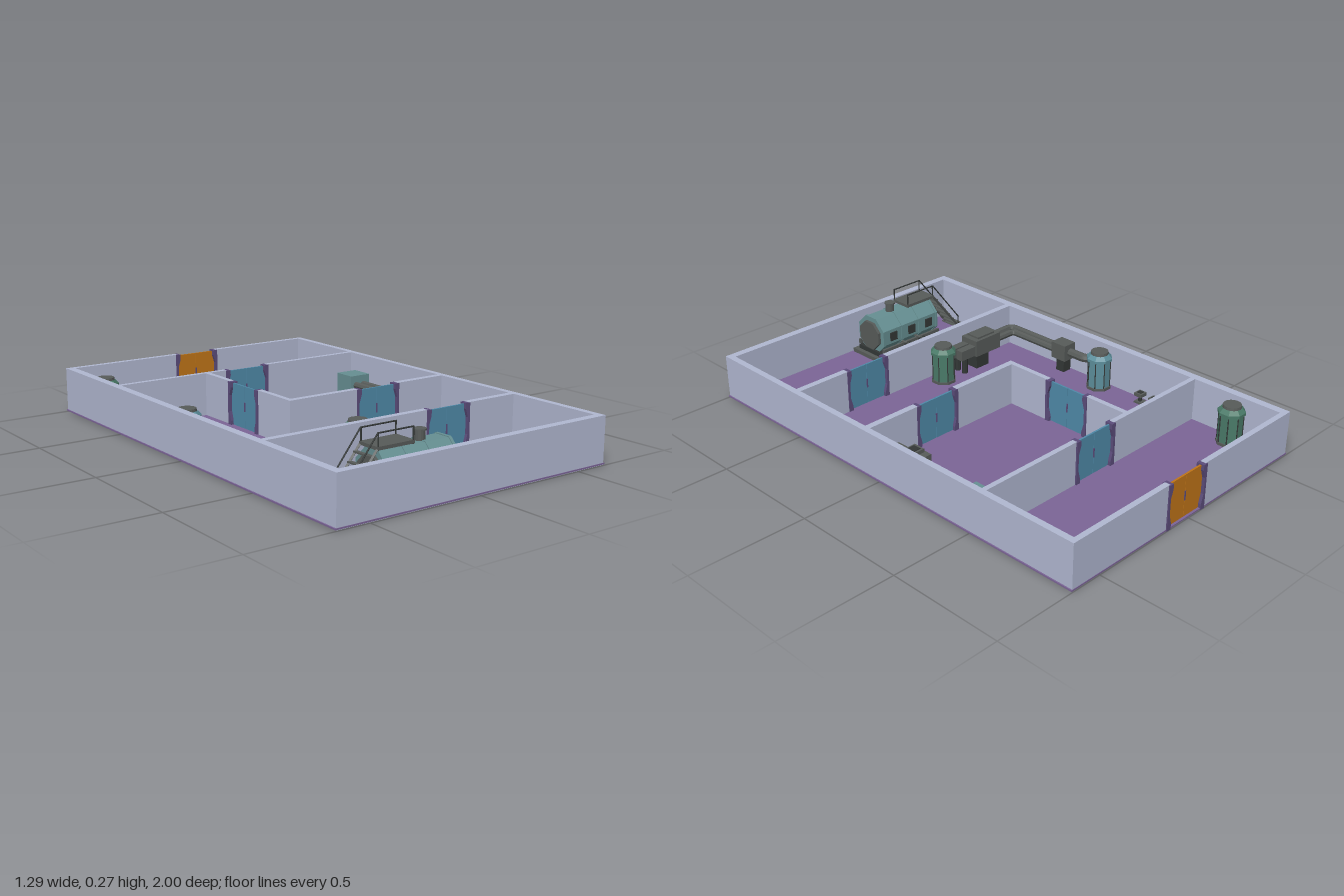
import * as THREE from 'three';

const mat = (name, color) => {
  const m = new THREE.MeshStandardMaterial({ color, flatShading: true });
  m.name = name;
  return m;
};

export function createModel() {
  const M = {
    wall: mat('wall blue grey', 0xb0b7d0),
    floor: mat('floor purple', 0x7b6596),
    frame: mat('frame violet', 0x5b4c7a),
    door: mat('door blue', 0x4f89a8),
    orange: mat('door orange', 0xbf7418),
    metal: mat('dark metal', 0x575b59),
    black: mat('black metal', 0x333736),
    teal: mat('teal', 0x668f92),
    green: mat('tank green', 0x4a7a68),
    blue: mat('tank blue green', 0x5d8f9c),
  };
  const model = new THREE.Group();
  model.name = 'facility';

  const group = (name, x = 0, z = 0) => {
    const g = new THREE.Group();
    g.name = name;
    g.position.set(x, 0, z);
    model.add(g);
    return g;
  };
  const add = (parent, name, geo, m, x = 0, y = 0, z = 0) => {
    const mesh = new THREE.Mesh(geo, m);
    mesh.name = name;
    mesh.position.set(x, y, z);
    parent.add(mesh);
    return mesh;
  };
  // Box given by its limits on each axis
  const box = (p, name, m, x0, x1, y0, y1, z0, z1) =>
    add(p, name, new THREE.BoxGeometry(x1 - x0, y1 - y0, z1 - z0), m, (x0 + x1) / 2, (y0 + y1) / 2, (z0 + z1) / 2);
  // Straight round bar between two points
  const bar = (p, name, m, a, b, r, sides = 6) => {
    const A = new THREE.Vector3(...a), B = new THREE.Vector3(...b), d = B.clone().sub(A);
    const mesh = add(p, name, new THREE.CylinderGeometry(r, r, d.length(), sides), m);
    mesh.position.copy(A).add(B).multiplyScalar(0.5);
    mesh.quaternion.setFromUnitVectors(new THREE.Vector3(0, 1, 0), d.normalize());
    return mesh;
  };
  // Bent pipe with rounded corners
  const pipe = (p, pts, r = 0.016, bend = 0.03) => {
    const v = pts.map(q => new THREE.Vector3(...q));
    const path = new THREE.CurvePath();
    let last = v[0];
    for (let i = 1; i < v.length - 1; i++) {
      const a = v[i].clone().add(v[i - 1].clone().sub(v[i]).setLength(bend));
      const b = v[i].clone().add(v[i + 1].clone().sub(v[i]).setLength(bend));
      path.add(new THREE.LineCurve3(last, a));
      path.add(new THREE.QuadraticBezierCurve3(a, v[i], b));
      last = b;
    }
    path.add(new THREE.LineCurve3(last, v[v.length - 1]));
    add(p, 'pipe', new THREE.TubeGeometry(path, 40, r, 8), M.metal);
  };

  // Floor and walls: x0, x1, z0, z1
  box(model, 'floor', M.floor, -0.645, 0.645, 0.006, 0.012, -1, 1);
  const walls = group('walls');
  const H = 0.2;
  [
    [-0.64, -0.605, -0.998, 0.998], [0.612, 0.64, -0.998, 0.998], // sides
    [-0.605, 0.612, 0.965, 0.998], // front
    [-0.605, -0.085, -0.998, -0.974], [0.125, 0.612, -0.998, -0.974], // back
    [-0.605, -0.085, -0.561, -0.539], [0.13, 0.612, -0.561, -0.539],
    [-0.193, -0.17, -0.539, -0.345], [-0.193, -0.17, -0.13, 0.074],
    [-0.193, 0.15, 0.074, 0.102], [0.365, 0.612, 0.074, 0.102],
    [-0.605, 0.15, 0.51, 0.538], [0.365, 0.612, 0.51, 0.538],
  ].forEach(([x0, x1, z0, z1]) => box(walls, 'wall', M.wall, x0, x1, 0.004, H, z0, z1));

  // Sliding doors: two leaves between posts that narrow at mid height
  const postShape = new THREE.Shape([[-0.006, 0.005], [0.016, 0.005], [0.016, 0.03], [0.005, 0.07],
    [0.005, 0.14], [0.016, 0.175], [0.016, 0.199], [-0.006, 0.199]].map(q => new THREE.Vector2(...q)));
  const postGeo = new THREE.ExtrudeGeometry(postShape, { depth: 0.034, bevelEnabled: false });
  postGeo.translate(0, 0, -0.017);
  const door = (x, z, m, turn = 0) => {
    const g = group('door', x, z);
    g.rotation.y = turn;
    for (const s of [-1, 1]) {
      const post = add(g, 'doorPost', postGeo, M.frame, s * 0.106);
      post.rotation.y = s > 0 ? Math.PI : 0;
      box(g, 'doorLeaf', m, Math.min(s * 0.0008, s * 0.104), Math.max(s * 0.0008, s * 0.104), 0.008, 0.194, -0.004, 0.004);
      box(g, 'doorHandle', M.frame, -0.003, 0.003, 0.085, 0.125, s > 0 ? 0.004 : -0.007, s > 0 ? 0.007 : -0.004);
    }
  };
  door(0.02, -0.986, M.orange);
  door(0.022, -0.55, M.door);
  door(0.258, 0.088, M.door);
  door(0.258, 0.524, M.door);
  door(-0.182, -0.238, M.door, Math.PI / 2);

  // Upright octagonal tanks
  const ring = (r0, r1, h) => new THREE.CylinderGeometry(r1, r0, h, 8, 1, false, Math.PI / 8);
  const tank = (x, z, m) => {
    const g = group('storageTank', x, z);
    add(g, 'tankFoot', ring(0.056, 0.056, 0.022), M.metal, 0, 0.013, 0);
    add(g, 'tankBody', ring(0.051, 0.051, 0.125), m, 0, 0.0865, 0);
    add(g, 'tankRim', ring(0.058, 0.058, 0.012), m, 0, 0.152, 0);
    add(g, 'tankShoulder', ring(0.058, 0.042, 0.017), m, 0, 0.1665, 0);
    add(g, 'tankLid', new THREE.CylinderGeometry(0.038, 0.04, 0.012, 16), M.metal, 0, 0.18, 0);
    for (let i = 0; i < 8; i++) {
      const a = i * Math.PI / 4 + Math.PI / 8;
      bar(g, 'tankRib', M.black, [Math.sin(a) * 0.051, 0.02, Math.cos(a) * 0.051],
        [Math.sin(a) * 0.051, 0.147, Math.cos(a) * 0.051], 0.003, 4);
    }
  };
  tank(-0.555, -0.785, M.green);
  tank(-0.555, -0.087, M.blue);
  tank(-0.117, 0.443, M.green);

  // Two small floor valves
  for (const z of [-0.387, -0.312]) {
    const g = group('floorValve', -0.568, z);
    box(g, 'valveBase', M.metal, -0.019, 0.019, 0.002, 0.02, -0.019, 0.019);
    bar(g, 'valveStem', M.black, [0, 0.02, 0], [0, 0.05, 0], 0.008, 8);
    box(g, 'valveHead', M.metal, -0.019, 0.019, 0.045, 0.06, -0.019, 0.019);
    box(g, 'valveCap', M.black, -0.01, 0.01, 0.06, 0.063, -0.01, 0.01);
  }

  // Pump with pipes along the side wall
  const pump = group('wallPump');
  box(pump, 'junctionBox', M.metal, -0.603, -0.535, 0.075, 0.15, 0.098, 0.178);
  box(pump, 'junctionStand', M.black, -0.595, -0.55, 0.002, 0.075, 0.115, 0.16);
  pipe(pump, [[-0.606, 0.11, 0], [-0.572, 0.11, 0], [-0.572, 0.11, 0.1]], 0.02);
  pipe(pump, [[-0.585, 0.11, 0.17], [-0.585, 0.11, 0.478], [-0.42, 0.11, 0.478]]);
  pipe(pump, [[-0.552, 0.11, 0.17], [-0.552, 0.11, 0.435], [-0.42, 0.11, 0.435]]);
  box(pump, 'pumpHousing', M.metal, -0.435, -0.285, 0.08, 0.155, 0.405, 0.5);
  box(pump, 'pumpTop', M.metal, -0.41, -0.31, 0.155, 0.163, 0.42, 0.488);
  box(pump, 'pumpStand', M.black, -0.375, -0.3, 0.002, 0.08, 0.42, 0.485);
  for (const z of [0.43, 0.475]) {
    box(pump, 'pumpOutlet', M.metal, -0.285, -0.2, 0.085, 0.13, z - 0.018, z + 0.018);
    bar(pump, 'outletLeg', M.black, [-0.235, 0.002, z], [-0.235, 0.09, z], 0.014, 8);
  }

  // Generator with twin pipes on the other side
  const gen = group('generator');
  box(gen, 'generatorCabinet', M.teal, 0.505, 0.61, 0.002, 0.12, -0.505, -0.4);
  for (const dx of [0, 0.042])
    pipe(gen, [[0.535 + dx, 0.075, -0.41], [0.535 + dx, 0.075, -0.235], [0.503 + dx, 0.075, -0.2], [0.503 + dx, 0.075, -0.12]], 0.016, 0.018);
  box(gen, 'generatorStand', M.black, 0.495, 0.56, 0.002, 0.05, -0.12, -0.05);
  box(gen, 'generatorBlock', M.metal, 0.482, 0.57, 0.05, 0.115, -0.13, -0.04);
  box(gen, 'generatorHood', M.metal, 0.49, 0.562, 0.115, 0.13, -0.1, -0.045);
  box(gen, 'generatorVent', M.black, 0.502, 0.55, 0.13, 0.133, -0.09, -0.055);
  for (const x of [0.503, 0.547])
    box(gen, 'generatorOutlet', M.metal, x - 0.017, x + 0.017, 0.055, 0.095, -0.04, 0.055);

  // Large lying boiler on a framed base
  const boiler = group('boiler');
  box(boiler, 'boilerBase', M.metal, -0.415, -0.022, 0.002, 0.03, 0.747, 0.958);
  box(boiler, 'boilerBed', M.black, -0.395, -0.042, 0.03, 0.05, 0.767, 0.938);
  const lying = (name, x0, x1, r, m) => {
    const mesh = add(boiler, name, new THREE.CylinderGeometry(r, r, x1 - x0, 8, 1, false, Math.PI / 8), m, (x0 + x1) / 2, 0.12, 0.86);
    mesh.rotation.z = Math.PI / 2;
  };
  lying('boilerShell', -0.385, -0.055, 0.09, M.teal);
  for (const x of [-0.38, -0.275, -0.17, -0.06]) lying('boilerBand', x - 0.006, x + 0.006, 0.0935, M.teal);
  lying('boilerEnd', -0.4, -0.04, 0.07, M.metal);
  for (const s of [-1, 1]) {
    for (const x of [-0.33, -0.225, -0.115])
      box(boiler, 'boilerWindow', M.black, x - 0.02, x + 0.02, 0.1, 0.14, 0.86 + s * 0.085 - 0.004, 0.86 + s * 0.085 + 0.004);
    box(boiler, 'boilerRail', M.metal, -0.39, -0.05, 0.05, 0.07, 0.86 + s * 0.085 - 0.006, 0.86 + s * 0.085 + 0.006);
  }
  for (const x of [-0.255, -0.17]) {
    bar(boiler, 'sidePipe', M.metal, [x, 0.075, 0.79], [x, 0.075, 0.712], 0.006);
    bar(boiler, 'sideHandle', M.black, [x - 0.017, 0.075, 0.742], [x + 0.017, 0.075, 0.742], 0.006);
  }
  add(boiler, 'chimney', new THREE.CylinderGeometry(0.02, 0.02, 0.05, 12), M.metal, -0.17, 0.218, 0.86);
  add(boiler, 'chimneyCap', new THREE.CylinderGeometry(0.025, 0.025, 0.006, 12), M.metal, -0.17, 0.243, 0.86);

  // Walkway, handrails and stairs
  const stairs = group('walkway');
  box(stairs, 'platform', M.metal, -0.4, -0.235, 0.212, 0.225, 0.81, 0.91);
  box(stairs, 'stairMat', M.metal, -0.6, -0.545, 0.002, 0.016, 0.8, 0.915);
  for (const z of [0.813, 0.907]) {
    for (const x of [-0.395, -0.24]) bar(stairs, 'railPost', M.black, [x, 0.21, z], [x, 0.274, z], 0.003);
    bar(stairs, 'topRail', M.black, [-0.397, 0.273, z], [-0.238, 0.273, z], 0.003);
    bar(stairs, 'slopedRail', M.black, [-0.56, 0.065, z], [-0.397, 0.273, z], 0.003);
    bar(stairs, 'lowerPost', M.black, [-0.558, 0.012, z], [-0.558, 0.068, z], 0.003);
    bar(stairs, 'stringer', M.metal, [-0.562, 0.012, z], [-0.4, 0.215, z], 0.006, 4);
  }
  for (let i = 0; i < 6; i++) {
    const x = -0.55 + i * 0.026, y = 0.03 + i * 0.0325;
    box(stairs, 'tread', M.metal, x - 0.008, x + 0.008, y - 0.003, y + 0.003, 0.813, 0.907);
  }
  return model;
}
